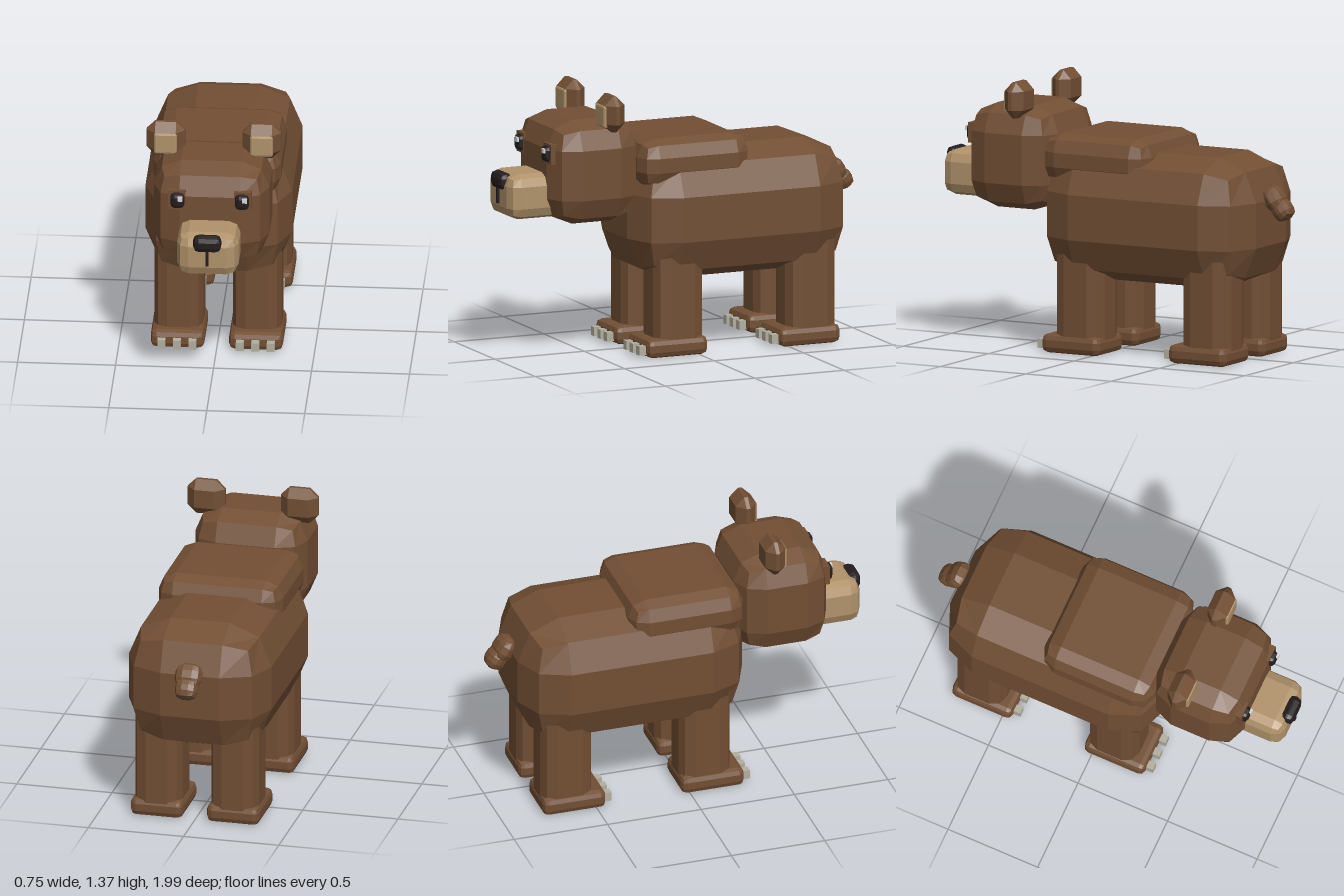
import * as THREE from 'three';
import { RoundedBoxGeometry } from 'three/addons/geometries/RoundedBoxGeometry.js';
import { ConvexGeometry } from 'three/addons/geometries/ConvexGeometry.js';

function material(name, color) {
  const m = new THREE.MeshStandardMaterial({ color });
  m.name = name;
  return m;
}

// Box with two-step faceted bevels; plain box when r is 0
function block(w, h, d, r) {
  if (!r) return new THREE.BoxGeometry(w, h, d);
  const g = new RoundedBoxGeometry(w, h, d, 1, r);
  g.computeVertexNormals(); // unshared vertices, so facets stay flat
  return g;
}

// Box with a single chamfer of size c on all edges
function chamferBox(w, h, d, c) {
  const pts = [];
  for (const x of [-w / 2, w / 2]) for (const y of [-h / 2, h / 2]) for (const z of [-d / 2, d / 2]) {
    const cx = x - Math.sign(x) * c, cy = y - Math.sign(y) * c, cz = z - Math.sign(z) * c;
    pts.push(new THREE.Vector3(x, cy, cz), new THREE.Vector3(cx, y, cz), new THREE.Vector3(cx, cy, z));
  }
  return new ConvexGeometry(pts);
}

export function createModel() {
  const fur = material('brown fur', 0x724f34);
  const tan = material('tan fur', 0xb0926a);
  const black = material('black', 0x241c1d);
  const claw = material('claw grey', 0xb3af9f);
  const glint = material('eye glint', 0xd8d8d8);

  const bear = new THREE.Group();
  bear.name = 'bear';

  function add(name, geometry, mat, x, y, z, parent = bear) {
    const mesh = new THREE.Mesh(geometry, mat);
    mesh.name = name;
    mesh.position.set(x, y, z);
    parent.add(mesh);
    return mesh;
  }

  // Block given by its extents: [min, max] on each axis
  function span(name, mat, [x0, x1], [y0, y1], [z0, z1], r = 0, parent = bear) {
    return add(name, block(x1 - x0, y1 - y0, z1 - z0, r), mat,
      (x0 + x1) / 2, (y0 + y1) / 2, (z0 + z1) / 2, parent);
  }

  // Torso and head
  span('body', fur, [-0.375, 0.375], [0.38, 1.053], [-0.87, 0.33], 0.22);
  span('shoulderHump', fur, [-0.325, 0.325], [0.87, 1.125], [-0.305, 0.31], 0.09);
  span('head', fur, [-0.295, 0.295], [0.705, 1.243], [0.285, 0.78], 0.14);

  // Muzzle, nose and mouth line
  span('muzzle', tan, [-0.157, 0.157], [0.74, 0.973], [0.65, 0.978], 0.06);
  span('nose', black, [-0.073, 0.073], [0.886, 0.976], [0.93, 1.0], 0.03);
  span('mouthLine', black, [-0.008, 0.008], [0.812, 0.9], [0.96, 0.99]);

  for (const s of [-1, 1]) {
    const side = s > 0 ? 'left' : 'right';

    // Eye with brow plate and glint
    add(side + 'EyeSocket', block(0.09, 0.105, 0.04), fur, s * 0.168, 1.083, 0.763);
    add(side + 'Eye', block(0.072, 0.084, 0.05, 0.022), black, s * 0.165, 1.083, 0.782);
    add(side + 'EyeGlint', block(0.024, 0.024, 0.012), glint, s * 0.165 + 0.015, 1.101, 0.808);

    // Ear with tan inner pad
    add(side + 'Ear', chamferBox(0.196, 0.186, 0.11, 0.045), fur, s * 0.245, 1.282, 0.465);
    add(side + 'InnerEar', block(0.118, 0.118, 0.03, 0.012), tan, s * 0.245, 1.273, 0.512);

    // Legs, paws and claws
    for (const [end, z] of [['Front', 0], ['Back', -0.74]]) {
      const leg = new THREE.Group();
      leg.name = side + end + 'Leg';
      leg.position.set(s * 0.2, 0, z);
      bear.add(leg);
      span('leg', fur, [-0.125, 0.125], [0.01, 0.66], [-0.042, 0.232], 0.07, leg);
      span('paw', fur, [-0.137, 0.137], [0.003, 0.1], [-0.046, 0.29], 0.03, leg);
      for (const x of [-0.079, 0, 0.079])
        span('claw', claw, [x - 0.02, x + 0.02], [0.02, 0.067], [0.25, 0.327], 0, leg);
    }
  }

  // Stubby two-part tail
  add('tailBase', block(0.14, 0.13, 0.1, 0.045), fur, 0, 0.84, -0.893).rotation.x = 0.6;
  add('tailTip', block(0.115, 0.11, 0.1, 0.04), fur, 0, 0.785, -0.938).rotation.x = 0.6;

  return bear;
}
